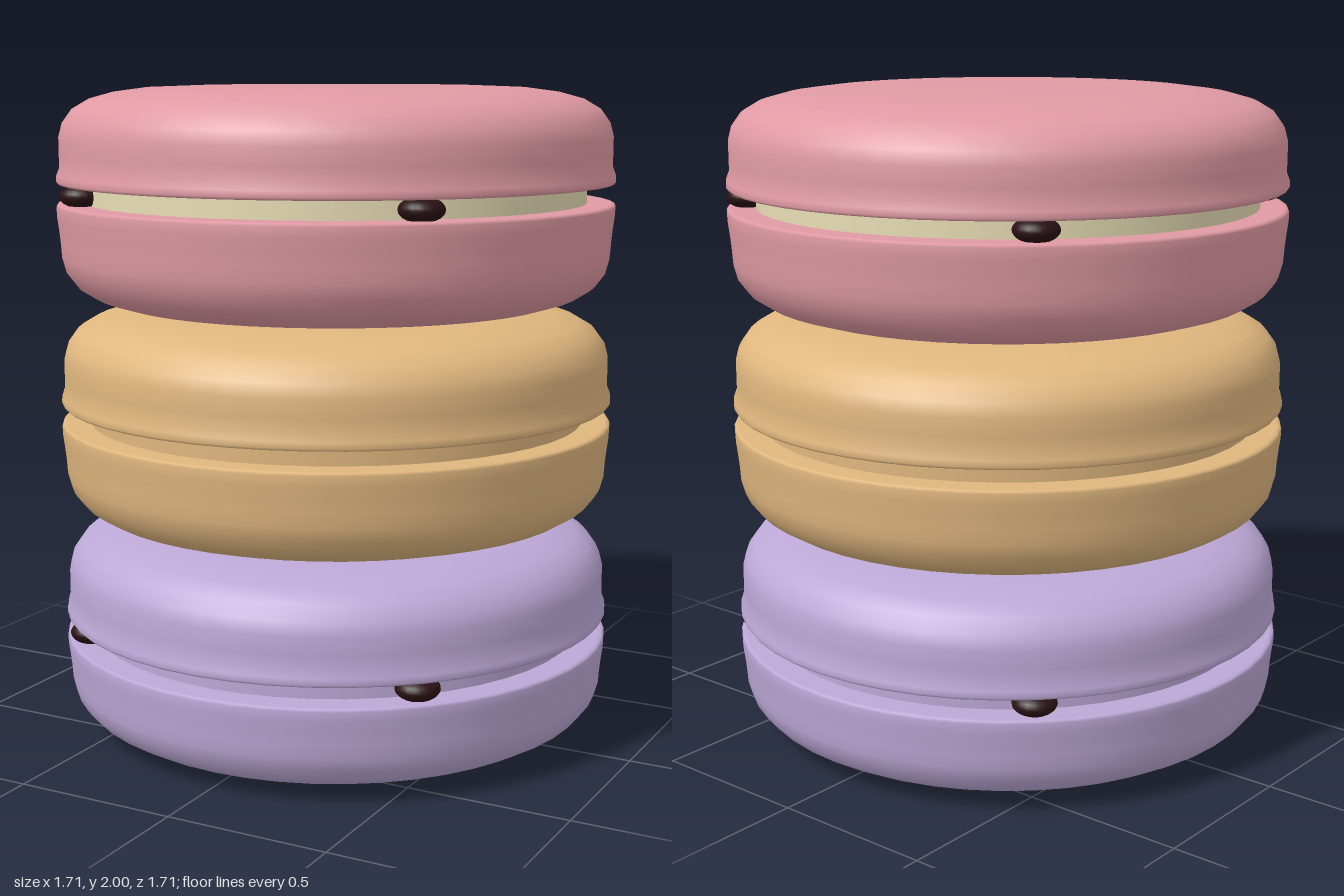
import * as THREE from 'three';

const mat = (name, color) => {
  const m = new THREE.MeshStandardMaterial({ color });
  m.name = name;
  return m;
};

// Half-shell profiles as [radius, height fraction], from filling face to crown
const UPPER = [[0, 0], [0.6, 0], [0.838, 0], [0.852, 0.006], [0.857, 0.03], [0.855, 0.09], [0.846, 0.17],
  [0.846, 0.3], [0.846, 0.48], [0.835, 0.62], [0.805, 0.76], [0.755, 0.86], [0.68, 0.93], [0.58, 0.975], [0.42, 0.995], [0, 1]];
const LOWER = [[0, 0], [0.6, 0], [0.842, 0], [0.853, 0.006], [0.857, 0.03], [0.856, 0.12], [0.851, 0.24],
  [0.847, 0.36], [0.844, 0.5], [0.832, 0.64], [0.8, 0.77], [0.75, 0.865], [0.68, 0.93], [0.58, 0.972], [0.42, 0.993], [0, 1]];

// Lathe a shell from its filling face y to its crown
function shell(name, profile, face, crown, material) {
  const pts = profile.map(([r, f]) => new THREE.Vector2(r, face + (crown - face) * f));
  if (crown < face) pts.reverse();
  const mesh = new THREE.Mesh(new THREE.LatheGeometry(pts, 48), material);
  mesh.name = name;
  return mesh;
}

export function createModel() {
  const pink = mat('pink', 0xe09aa4);
  const caramel = mat('caramel', 0xdfb67e);
  const lilac = mat('lilac', 0xbca8d6);
  const cream = mat('cream', 0xe9dfb6);
  const chocolate = mat('chocolate', 0x2a1114);

  const model = new THREE.Group();
  model.name = 'macaronStack';

  const layers = [
    { name: 'lilacMacaron', y: [0.005, 0.302, 0.362, 0.66], body: lilac, filling: lilac, chips: true },
    { name: 'caramelMacaron', y: [0.655, 0.973, 1.03, 1.325], body: caramel, filling: caramel, chips: false },
    { name: 'pinkMacaron', y: [1.32, 1.647, 1.705, 2], body: pink, filling: cream, chips: true },
  ];
  layers[0].y[0] = 0;

  const chipGeometry = new THREE.SphereGeometry(1, 20, 14);

  for (const { name, y: [base, low, high, top], body, filling, chips } of layers) {
    const macaron = new THREE.Group();
    macaron.name = name;
    macaron.add(shell('lowerShell', LOWER, low, base, body));
    macaron.add(shell('upperShell', UPPER, high, top, body));

    // Filling disc recessed between the shells
    const mid = (low + high) / 2;
    const disc = new THREE.Mesh(new THREE.CylinderGeometry(0.77, 0.77, high - low + 0.01, 48, 1, true), filling);
    disc.name = 'filling';
    disc.position.y = mid;
    macaron.add(disc);

    // Four chocolate chips set into the filling on the diagonals
    if (chips) {
      for (const sx of [-1, 1]) for (const sz of [-1, 1]) {
        const chip = new THREE.Mesh(chipGeometry, chocolate);
        chip.name = 'chocolateChip';
        chip.scale.set(0.066, 0.036, 0.066);
        chip.position.set(sx * 0.558, mid, sz * 0.562);
        macaron.add(chip);
      }
    }
    model.add(macaron);
  }
  return model;
}
